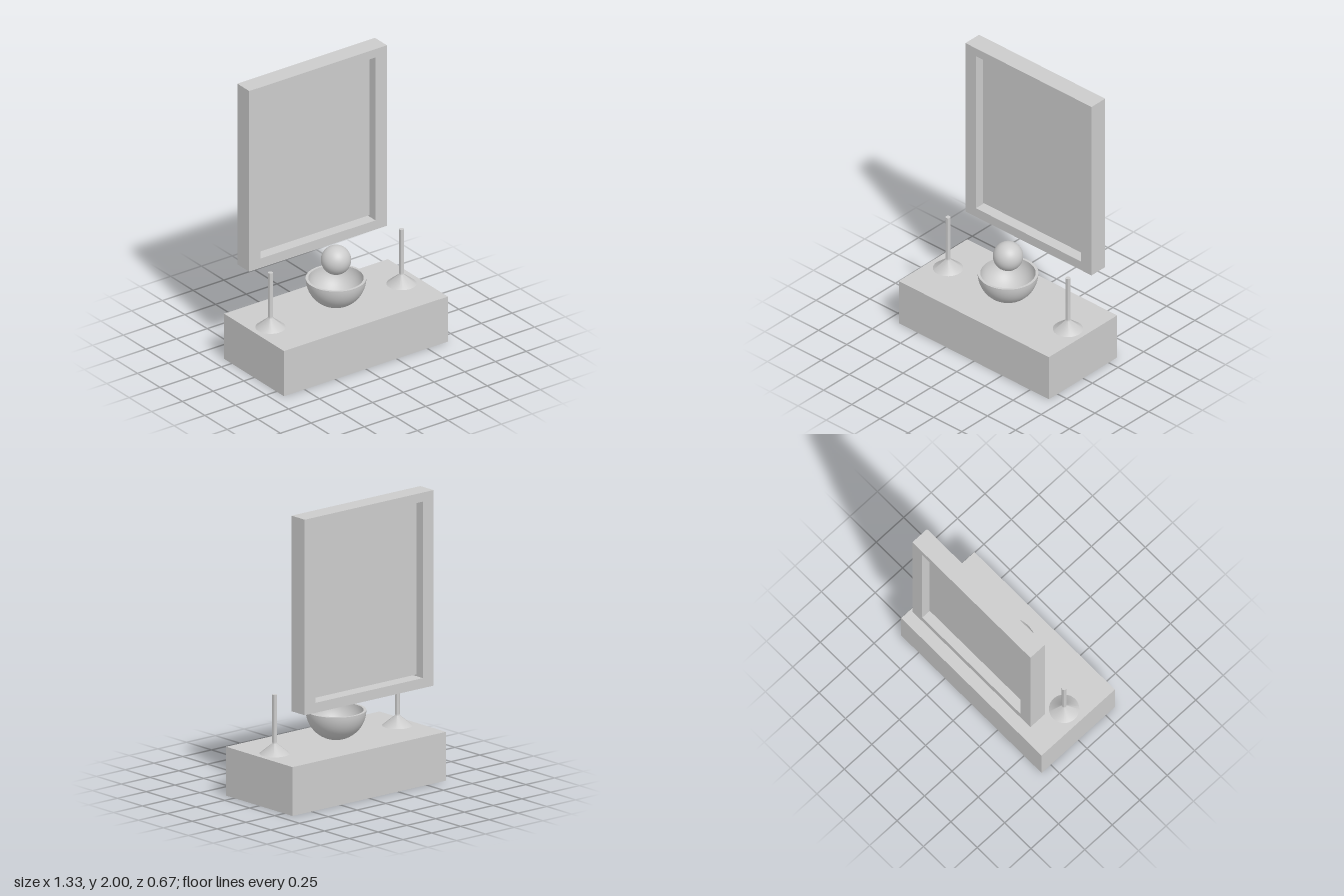
import * as THREE from 'three';
import { toCreasedNormals } from 'three/addons/utils/BufferGeometryUtils.js';

const grey = new THREE.MeshStandardMaterial({ color: 0xcccccc });
const greyThin = new THREE.MeshStandardMaterial({ color: 0xcccccc, side: THREE.DoubleSide });

export function createModel() {
  const model = new THREE.Group();
  model.name = 'altarWithFrame';

  const add = (name, geometry, x, y, z, material = grey) => {
    const mesh = new THREE.Mesh(geometry, material);
    mesh.name = name;
    mesh.position.set(x, y, z);
    model.add(mesh);
    return mesh;
  };
  const lathe = (points, segments = 48) =>
    new THREE.LatheGeometry(points.map(([r, y]) => new THREE.Vector2(r, y)), segments);

  // Table: thin-walled box, open underneath (the bottom face is left out)
  const W = 1.333, H = 0.333, D = 0.667;
  const tableGeometry = new THREE.BoxGeometry(W, H, D);
  const index = Array.from(tableGeometry.index.array);
  index.splice(18, 6);
  tableGeometry.setIndex(index);
  tableGeometry.clearGroups();
  add('table', tableGeometry, 0, H / 2, 0, greyThin);

  // Upright frame with a rectangular opening
  const rectangle = (P, x, y0, y1) => new P([[-x, y0], [x, y0], [x, y1], [-x, y1]]
    .map(([a, b]) => new THREE.Vector2(a, b)));
  const outline = rectangle(THREE.Shape, 0.56, 0.667, 2);
  outline.holes.push(rectangle(THREE.Path, 0.467, 0.735, 1.938));
  add('frame', new THREE.ExtrudeGeometry(outline, { depth: 0.133, bevelEnabled: false }), 0, 0, -0.333);

  // Thin panel halfway through the frame, a little shorter than the opening
  add('framePanel', new THREE.PlaneGeometry(0.934, 1.182), 0, 1.337, -0.267, greyThin);

  // Bowl: outer hemisphere, flat rim, inner hemisphere
  const bowlProfile = [];
  const arc = (radius, from, to, steps = 20) => {
    for (let i = 0; i <= steps; i++) {
      const a = (from + (to - from) * i / steps) * Math.PI / 2;
      bowlProfile.push([radius * Math.sin(a), -radius * Math.cos(a)]);
    }
  };
  arc(0.2, 0, 1);
  arc(0.182, 1, 0);
  add('bowl', toCreasedNormals(lathe(bowlProfile), 0.7), 0, 0.535, 0, greyThin);

  // Ball floating above the bowl
  add('ball', new THREE.SphereGeometry(0.1, 40, 24), 0, 0.668, 0);

  // Pair of candlesticks: conical foot and slim stem
  const stick = toCreasedNormals(lathe([
    [0, 0], [0.1, 0], [0.017, 0.068], [0.016, 0.08], [0.016, 0.402], [0, 0.402],
  ], 32), 1.0);
  for (const side of [-1, 1]) {
    add(side > 0 ? 'leftCandlestick' : 'rightCandlestick', stick, side * 0.533, H, 0);
  }

  return model;
}
